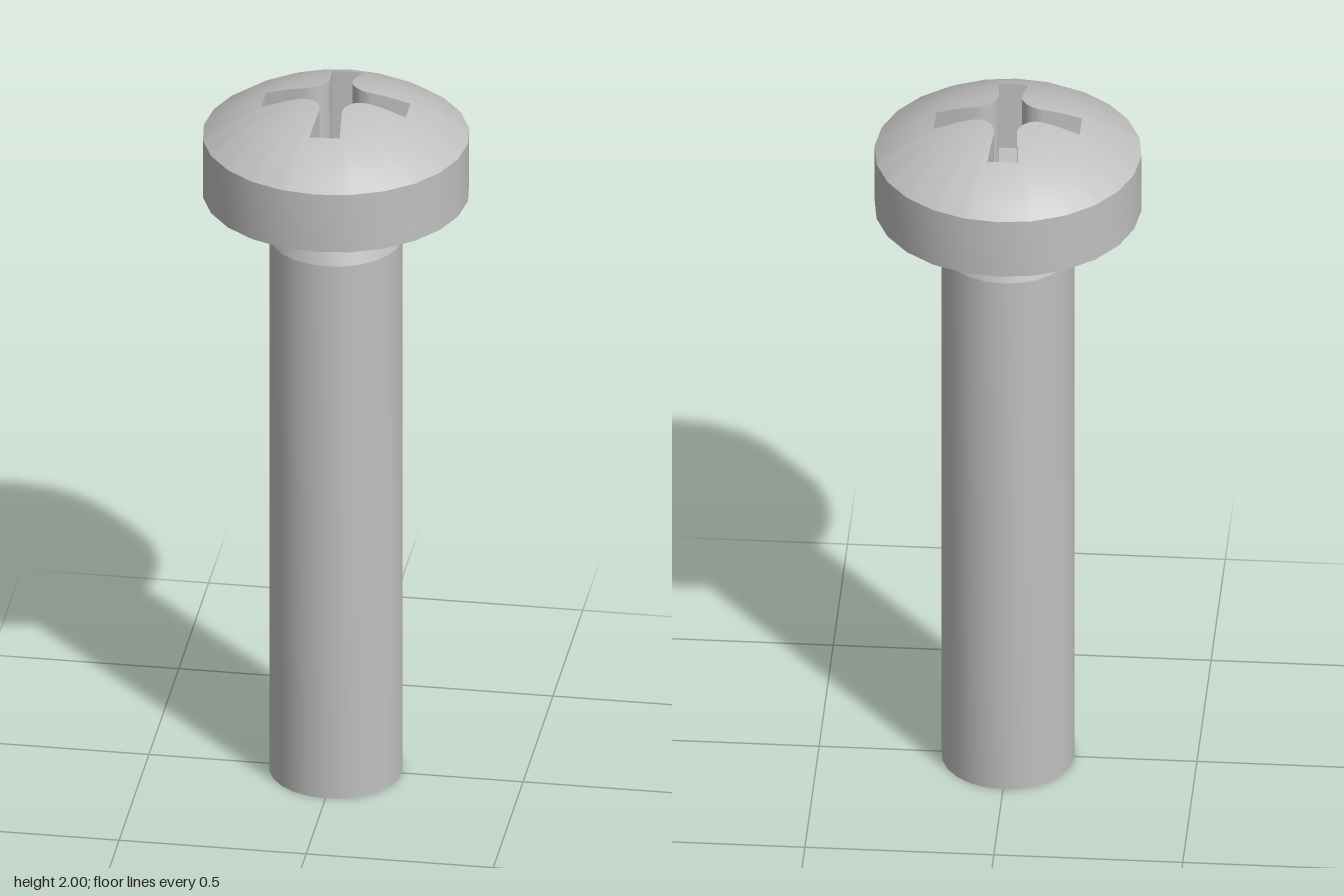
import * as THREE from 'three';
import { toCreasedNormals } from 'three/addons/utils/BufferGeometryUtils.js';

const SIDES = 24, HEAD_R = 0.353, RIM_Y = 1.883, APEX_Y = 2.004, FLOOR_Y = 1.77;
const rad = THREE.MathUtils.degToRad;

// Angles around the screw that catch every rim corner and recess corner
const eighth = [0, 11.75, 15, 18.43, 22, 26, 30, 35, 40];
const quarter = [...eighth, 45, ...eighth.slice(1).reverse().map(a => 90 - a)];
const angles = [0, 90, 180, 270].flatMap(q => quarter.map(a => rad(a + q)));

// Radius of the cross recess: flat arm end, flaring side, rounded inner corner
function crossRadius(angle) {
  let a = angle % (Math.PI / 2);
  if (a > Math.PI / 4) a = Math.PI / 2 - a;
  if (a < rad(11.8)) return 0.193 / Math.cos(a);
  if (a < rad(18.4)) return 0.0218 / (Math.sin(a) - 0.0943 * Math.cos(a));
  const c = 0.09 * Math.SQRT2, d = Math.PI / 4 - a;
  return c * Math.cos(d) - Math.sqrt(0.0036 - (c * Math.sin(d)) ** 2);
}

// Radius of the many-sided head rim
function rimRadius(angle) {
  const half = Math.PI / SIDES;
  return HEAD_R * Math.cos(half) / Math.cos((angle % (2 * half)) - half);
}

function domeHeight(r, angle) {
  const rise = APEX_Y - RIM_Y;
  const R = (HEAD_R ** 2 + rise ** 2) / (2 * rise);
  const s = r * HEAD_R / rimRadius(angle);
  return APEX_Y - R + Math.sqrt(R * R - s * s);
}

// Closed skin of rings; point(t, angle) returns [radius, height]
function skin(steps, point) {
  const pos = [], index = [], n = angles.length;
  for (let i = 0; i <= steps; i++) {
    for (const a of angles) {
      const [r, y] = point(i / steps, a);
      pos.push(r * Math.cos(a), y, -r * Math.sin(a));
    }
  }
  for (let i = 0; i < steps; i++) {
    for (let j = 0; j < n; j++) {
      const k = (j + 1) % n;
      const a = i * n + j, b = a + n, c = (i + 1) * n + k, d = i * n + k;
      index.push(a, b, c, a, c, d);
    }
  }
  const g = new THREE.BufferGeometry();
  g.setAttribute('position', new THREE.Float32BufferAttribute(pos, 3));
  g.setIndex(index);
  g.computeVertexNormals();
  return g;
}

function turned(profile) {
  const points = profile.map(([r, y]) => new THREE.Vector2(r, y));
  return toCreasedNormals(new THREE.LatheGeometry(points, SIDES), 0.3);
}

export function createModel() {
  const group = new THREE.Group();
  group.name = 'screw';
  const steel = new THREE.MeshStandardMaterial({ color: 0xc0c0c0 });
  steel.name = 'steel';
  const add = (name, geometry) => {
    const mesh = new THREE.Mesh(geometry, steel);
    mesh.name = name;
    group.add(mesh);
  };

  // Plain shank with tapered top, then the flared neck
  add('shank', turned([[0, 0], [0.176, 0], [0.176, 1.58], [0.152, 1.644]]));
  add('neck', turned([[0.152, 1.644], [0.214, 1.713]]));

  // Head underside and side wall
  add('headRim', turned([[0.214, 1.713], [HEAD_R, 1.713], [HEAD_R, RIM_Y]]));

  // Dome running from the recess edge out to the rim
  add('headDome', skin(6, (t, a) => {
    const r = THREE.MathUtils.lerp(crossRadius(a), rimRadius(a), t);
    return [r, domeHeight(r, a)];
  }));

  // Cross recess walls and floor
  add('recessWall', toCreasedNormals(skin(1, (t, a) => {
    const r = crossRadius(a);
    return [r, t ? domeHeight(r, a) : FLOOR_Y];
  }), 0.5));
  add('recessFloor', skin(1, (t, a) => [t * crossRadius(a), FLOOR_Y]));

  return group;
}
